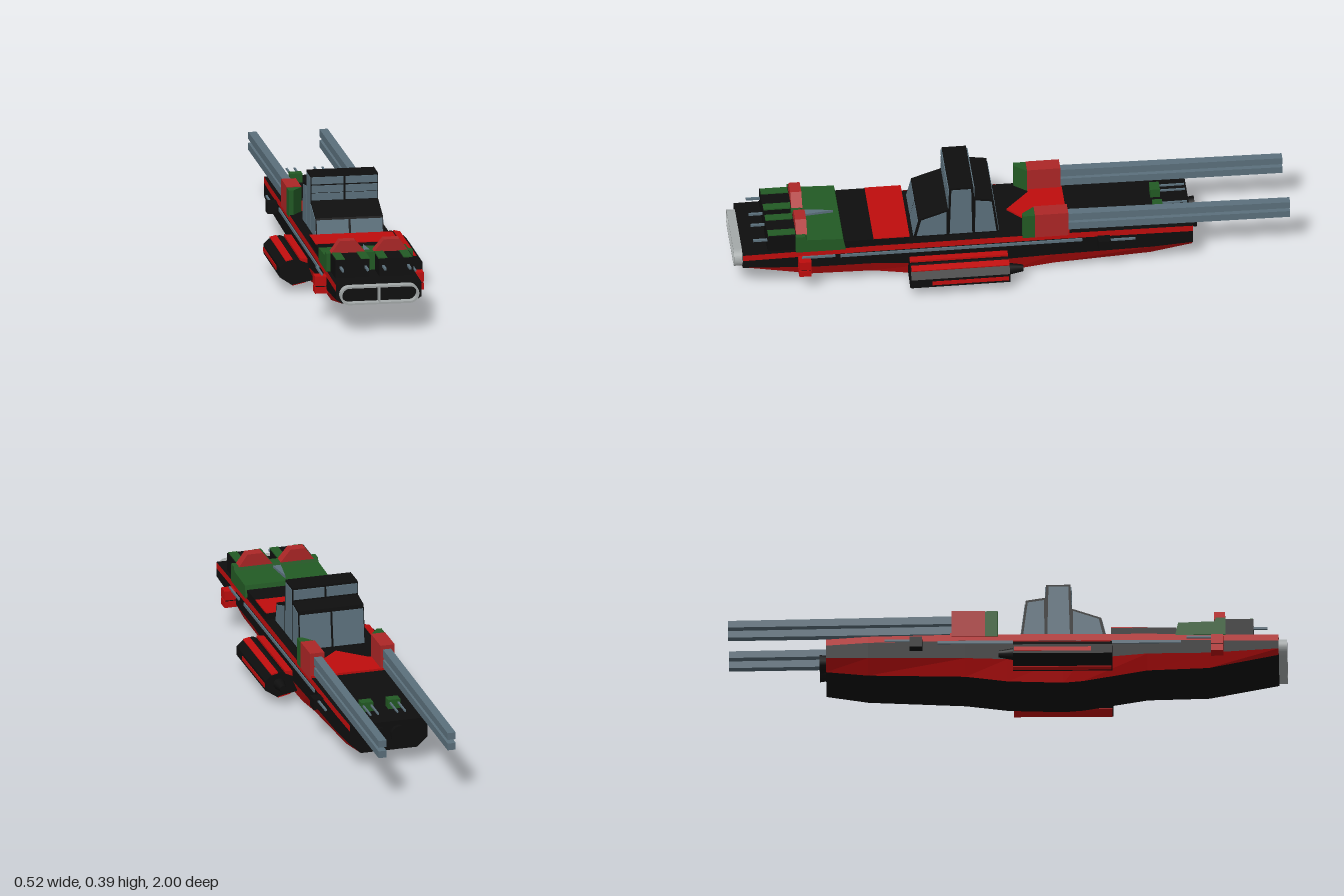
import * as THREE from 'three';

export function createModel() {
  const root = new THREE.Group();
  const mat = (name, color) => {
    const m = new THREE.MeshStandardMaterial({ color, side: THREE.DoubleSide });
    m.name = name;
    return m;
  };
  const black = mat('hullBlack', 0x0e0e0e);
  const red = mat('brightRed', 0xbf0d0d);
  const dullRed = mat('turretRed', 0xac2626);
  const green = mat('darkGreen', 0x225a24);
  const grey = mat('slateGrey', 0x5b707c);
  const silver = mat('silver', 0xa4a9a9);

  const add = (name, geo, m) => {
    const mesh = new THREE.Mesh(geo, m);
    mesh.name = name;
    root.add(mesh);
    return mesh;
  };
  // box from min/max ranges
  const box = (name, m, x0, x1, y0, y1, z0, z1) => {
    const g = new THREE.BoxGeometry(Math.abs(x1 - x0), y1 - y0, Math.abs(z1 - z0));
    g.translate((x0 + x1) / 2, (y0 + y1) / 2, (z0 + z1) / 2);
    return add(name, g, m);
  };
  const extrude = (pts, depth) => new THREE.ExtrudeGeometry(
    new THREE.Shape(pts.map(p => new THREE.Vector2(p[0], p[1]))), { depth, bevelEnabled: false });
  // side profile [z, y] swept across x
  const sweepX = (name, m, pts, x0, x1) =>
    add(name, extrude(pts, x1 - x0).rotateY(-Math.PI / 2).translate(x1, 0, 0), m);
  // plan outline [x, z] raised in y
  const sweepY = (name, m, pts, y0, y1) =>
    add(name, extrude(pts.map(([x, z]) => [x, -z]), y1 - y0).rotateX(-Math.PI / 2).translate(0, y0, 0), m);
  // front outline [x, y] swept along z
  const sweepZ = (name, m, pts, z0, z1) => add(name, extrude(pts, z1 - z0).translate(0, 0, z0), m);

  const strip = (name, m, a, b) => {
    const v = [];
    for (let i = 0; i < a.length - 1; i++)
      v.push(...a[i], ...b[i], ...b[i + 1], ...a[i], ...b[i + 1], ...a[i + 1]);
    const g = new THREE.BufferGeometry();
    g.setAttribute('position', new THREE.Float32BufferAttribute(v, 3));
    g.computeVertexNormals();
    add(name, g, m);
  };

  // Hull stations: z, keel y, chine y, deck y, keel half width, deck half width
  const stations = [
    [-0.65, 0.055, 0.092, 0.165, 0.105, 0.145], [-0.5, 0.036, 0.088, 0.172, 0.115, 0.152],
    [-0.15, 0.025, 0.085, 0.178, 0.125, 0.155], [0, 0.006, 0.08, 0.178, 0.125, 0.155],
    [0.2, 0, 0.08, 0.178, 0.125, 0.155], [0.27, 0.006, 0.08, 0.178, 0.125, 0.155],
    [0.5, 0.046, 0.1, 0.178, 0.127, 0.155], [0.72, 0.053, 0.102, 0.175, 0.13, 0.155],
    [0.97, 0.103, 0.118, 0.172, 0.132, 0.155],
  ];
  const section = (s, k) => {
    const [z, yb, yc, yt, wb, w] = stations[s];
    return [[wb, yb, z], [w, yc, z], [w, yt - 0.024, z], [w, yt, z], [-w, yt, z],
      [-w, yt - 0.024, z], [-w, yc, z], [-wb, yb, z]][k % 8];
  };
  const line = k => stations.map((_, s) => section(s, k));
  const bands = [['lowerHullLeft', red], ['hullBandLeft', black], ['gunwaleLeft', red], ['deck', black],
    ['gunwaleRight', red], ['hullBandRight', black], ['lowerHullRight', red], ['keel', black]];
  bands.forEach(([n, m], k) => strip(n, m, line(k + 1), line(k)));
  for (const s of [0, stations.length - 1]) {
    const outline = [0, 1, 2, 3, 4, 5, 6, 7].map(k => section(s, k));
    const g = new THREE.ShapeGeometry(new THREE.Shape(outline.map(p => new THREE.Vector2(p[0], p[1]))));
    if (s === 0) g.rotateY(Math.PI);
    add(s ? 'bowPlate' : 'sternPlate', g.translate(0, 0, stations[s][0]), black);
  }

  // Bow ring with a centre post
  const capsule = (C, w, r, y) => {
    const p = new C();
    p.absarc(w - r, y, r, -Math.PI / 2, Math.PI / 2, false);
    p.absarc(-w + r, y, r, Math.PI / 2, Math.PI * 1.5, false);
    p.closePath();
    return p;
  };
  const ring = capsule(THREE.Shape, 0.143, 0.034, 0.137);
  ring.holes.push(capsule(THREE.Path, 0.136, 0.027, 0.137));
  add('bowRing', new THREE.ExtrudeGeometry(ring, { depth: 0.035, bevelEnabled: false, curveSegments: 12 })
    .translate(0, 0, 0.965), silver);
  box('bowPost', silver, -0.003, 0.003, 0.108, 0.166, 0.965, 0.995);

  // Deck panels
  sweepX('foredeckHatch', green, [[0.78, 0.172], [0.78, 0.24], [0.745, 0.24], [0.74, 0.225],
    [0.61, 0.22], [0.6, 0.172]], -0.157, 0.157);
  sweepY('hatchSpike', grey, [[-0.015, 0.735], [0.015, 0.735], [0, 0.63]], 0.22, 0.232);
  box('forwardDeckBlock', black, -0.15, 0.15, 0.17, 0.204, 0.37, 0.605);
  box('redDeckPanel', red, -0.15, 0.15, 0.202, 0.207, 0.37, 0.5);
  sweepY('aftDeckArrow', red, [[-0.155, -0.205], [0.155, -0.205], [0.155, -0.1], [0.09, -0.08],
    [0, 0.005], [-0.09, -0.08], [-0.155, -0.1]], 0.176, 0.185);

  // Bridge body and its grey panels
  sweepX('bridge', black, [[0.355, 0.172], [0.335, 0.257], [0.228, 0.294], [0.225, 0.388],
    [0.138, 0.388], [0.135, 0.337], [0.065, 0.326], [0.045, 0.172]], -0.122, 0.122);
  const sidePanels = [
    [[0.342, 0.185], [0.326, 0.252], [0.234, 0.284], [0.234, 0.185]],
    [[0.223, 0.185], [0.217, 0.38], [0.146, 0.38], [0.142, 0.185]],
    [[0.132, 0.185], [0.13, 0.327], [0.072, 0.318], [0.055, 0.185]]];
  for (const s of [-1, 1]) {
    for (const p of sidePanels) sweepX('bridgeSidePanel', grey, p, s * 0.122 - 0.002, s * 0.122 + 0.002);
    const [a, b] = s > 0 ? [0.004, 0.119] : [-0.119, -0.004];
    for (const y of [0.296, 0.324, 0.355]) box('towerWindow', grey, a, b, y, y + 0.026, 0.223, 0.229);
    box('towerRearWindow', grey, a, b, 0.343, 0.38, 0.133, 0.139);
    sweepX('cabinWindow', grey, [[0.354, 0.185], [0.338, 0.25], [0.334, 0.25], [0.35, 0.185]], a, b);
    sweepX('cabinRearWindow', grey, [[0.045, 0.185], [0.061, 0.312], [0.066, 0.312], [0.05, 0.185]], a, b);
  }

  // Mirrored fittings
  for (const s of [-1, 1]) {
    const mx = pts => pts.map(([x, y]) => [s * x, y]);
    const mbox = (n, m, x0, x1, ...r) => box(n, m, s * x0, s * x1, ...r);

    // Forward gun housing
    mbox('gunHousing', black, 0.018, 0.142, 0.17, 0.24, 0.776, 0.88);
    sweepZ('housingCrest', dullRed, mx([[0.015, 0.239], [0.14, 0.239], [0.108, 0.284], [0.052, 0.284]]), 0.738, 0.778);
    for (const x of [0.032, 0.122]) {
      mbox('gunCover', green, x - 0.016, x + 0.016, 0.238, 0.243, 0.78, 0.878);
      mbox('foreGunBarrel', grey, x - 0.004, x + 0.004, 0.208, 0.216, 0.87, 0.93);
    }

    // Long aft cannons
    mbox('cannonBreech', dullRed, 0.105, 0.158, 0.17, 0.27, -0.2, -0.08);
    sweepY('cannonShield', green, mx([[0.105, -0.08], [0.158, -0.08], [0.158, -0.035], [0.14, -0.035]]), 0.17, 0.268);
    for (const [y0, y1] of [[0.24, 0.228], [0.2, 0.188]])
      sweepX('cannonBarrel', grey, [[-0.2, y0 - 0.015], [-0.2, y0 + 0.015], [-1, y1 + 0.013], [-1, y1 - 0.013]],
        s * 0.129 - 0.015, s * 0.129 + 0.015);

    // Side sponson with red stripes and thruster
    const pod = [[0.14, 0.04], [0.215, 0.025], [0.259, 0.055], [0.259, 0.09], [0.235, 0.112], [0.2, 0.12], [0.14, 0.095]];
    sweepZ('sponson', black, mx(pod), 0.02, 0.375);
    sweepZ('sponsonInnerStripe', red, mx([[0.158, 0.1], [0.185, 0.112], [0.185, 0.122], [0.158, 0.12]]), 0.02, 0.372);
    sweepZ('sponsonTopStripe', red, mx([[0.211, 0.116], [0.236, 0.11], [0.237, 0.115], [0.212, 0.121]]), 0.02, 0.372);
    sweepZ('sponsonLowerStripe', red, mx([[0.165, 0.036], [0.214, 0.026], [0.213, 0.022], [0.165, 0.032]]), 0.02, 0.372);
    mbox('sponsonSideStripe', red, 0.257, 0.261, 0.064, 0.08, 0.025, 0.3);
    add('sponsonThruster', new THREE.CylinderGeometry(0.022, 0.012, 0.055, 10)
      .rotateX(Math.PI / 2).translate(s * 0.208, 0.075, -0.005), black);

    // Grey rail along the hull
    mbox('sideRail', grey, 0.153, 0.16, 0.14, 0.151, -0.25, 0.62);

    // Side gun mounts
    mbox('bowSideMount', red, 0.15, 0.197, 0.12, 0.155, 0.728, 0.772);
    mbox('bowSideMountBand', black, 0.15, 0.194, 0.115, 0.122, 0.73, 0.77);
    mbox('bowSideMountBase', red, 0.15, 0.197, 0.092, 0.116, 0.728, 0.772);
    mbox('bowSideGun', grey, 0.166, 0.173, 0.153, 0.161, 0.64, 0.76);
    mbox('aftSideMount', black, 0.15, 0.19, 0.115, 0.155, -0.35, -0.305);
    mbox('aftSideGun', grey, 0.168, 0.175, 0.143, 0.15, -0.44, -0.31);

    // Stern guns and nozzles
    mbox('sternGunMount', green, 0.028, 0.073, 0.168, 0.205, -0.55, -0.515);
    for (const x of [0.036, 0.065])
      mbox('sternGunBarrel', grey, x - 0.003, x + 0.003, 0.19, 0.196, -0.64, -0.54);
    add('sternNozzle', new THREE.CylinderGeometry(0.03, 0.034, 0.03, 12)
      .rotateX(Math.PI / 2).translate(s * 0.036, 0.118, -0.658), black);
  }
  return root;
}
